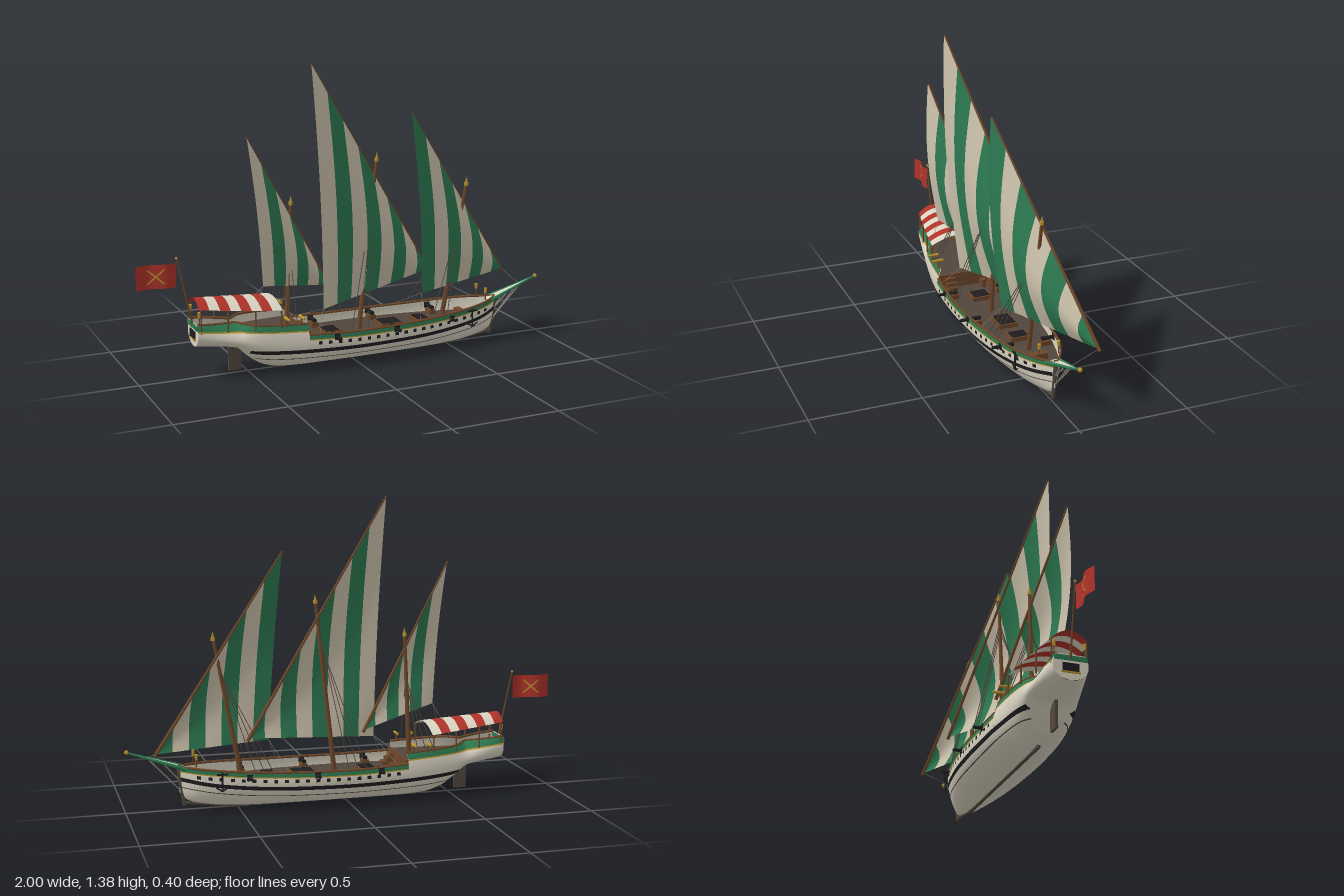
import * as THREE from 'three';
import { ParametricGeometry } from 'three/addons/geometries/ParametricGeometry.js';

const material = (name, color, side = THREE.FrontSide) => {
  const m = new THREE.MeshStandardMaterial({ color, side });
  m.name = name;
  return m;
};
const V = (x, y, z) => new THREE.Vector3(x, y, z);
const lerp = THREE.MathUtils.lerp;

// Smooth monotone curve through [x, value] points
function curve(pts) {
  const d = pts.slice(1).map((p, i) => (p[1] - pts[i][1]) / (p[0] - pts[i][0]));
  const m = pts.map((_, i) => {
    if (i === 0) return d[0];
    if (i === d.length) return d[i - 1];
    return d[i - 1] * d[i] <= 0 ? 0 : 2 * d[i - 1] * d[i] / (d[i - 1] + d[i]);
  });
  return x => {
    let i = 0;
    while (i < d.length - 1 && x > pts[i + 1][0]) i++;
    const h = pts[i + 1][0] - pts[i][0], t = (x - pts[i][0]) / h, s = 1 - t;
    return (1 + 2 * t) * s * s * pts[i][1] + t * s * s * h * m[i]
      + t * t * (3 - 2 * t) * pts[i + 1][1] - t * t * s * h * m[i + 1];
  };
}

// Hull lines: half beam, keel height, height of greatest beam, rail heights
const beam = curve([[-0.75, 0.075], [-0.6, 0.105], [-0.4, 0.138], [-0.2, 0.158], [0, 0.166], [0.2, 0.16], [0.4, 0.138], [0.55, 0.108], [0.68, 0.06], [0.76, 0.006]]);
const keelY = curve([[-0.75, 0.15], [-0.57, 0.128], [-0.5, 0.07], [-0.44, 0.03], [-0.36, 0.01], [-0.25, 0.006], [0.4, 0.006], [0.55, 0.01], [0.67, 0.026], [0.73, 0.045], [0.76, 0.08]]);
const wideY = curve([[-0.75, 0.21], [-0.5, 0.16], [-0.2, 0.13], [0.3, 0.13], [0.76, 0.19]]);
const railY = curve([[-0.75, 0.2], [-0.26, 0.178], [0, 0.17], [0.3, 0.174], [0.6, 0.188], [0.76, 0.198]]);
const castleY = curve([[-0.75, 0.26], [-0.5, 0.238], [-0.26, 0.225]]);
function halfWidth(x, y) {
  const t = Math.max(0, (y - keelY(x)) / (wideY(x) - keelY(x)));
  return beam(x) * (t < 1 ? Math.sqrt(1 - (1 - t) ** 2) : 1 - 0.25 * (t - 1) ** 2);
}

export function createModel() {
  const D = THREE.DoubleSide;
  const cream = material('hull cream', 0xd9d3c1, D), canvas = material('sail canvas', 0xcbc1ab, D);
  const green = material('green', 0x2c7850, D), red = material('red', 0xaf3229, D);
  const gold = material('gold', 0xb8922e, D), wood = material('brown wood', 0x6e4729, D);
  const dark = material('dark planks', 0x51463d, D), black = material('black', 0x1d1d20, D);
  const rope = material('rope', 0x8b857b);

  const ship = new THREE.Group();
  ship.name = 'ship';
  const add = (name, geo, mat, x = 0, y = 0, z = 0) => {
    const mesh = new THREE.Mesh(geo, mat);
    mesh.name = name;
    mesh.position.set(x, y, z);
    ship.add(mesh);
    return mesh;
  };
  const surface = (name, fn, nu, nv, mat) =>
    add(name, new ParametricGeometry((u, v, p) => p.copy(fn(u, v)), nu, nv), mat);
  const rod = (name, a, b, r1, r2, mat, sides = 8) => {
    const dir = b.clone().sub(a), mid = a.clone().add(b).multiplyScalar(0.5);
    const m = add(name, new THREE.CylinderGeometry(r2, r1, dir.length(), sides), mat, mid.x, mid.y, mid.z);
    m.quaternion.setFromUnitVectors(V(0, 1, 0), dir.normalize());
  };
  const box = (name, w, h, d, mat, x, y, z) => add(name, new THREE.BoxGeometry(w, h, d), mat, x, y, z);
  const ball = (name, r, p, mat) => add(name, new THREE.SphereGeometry(r, 10, 8), mat, p.x, p.y, p.z);

  // Hull shell in two lengths: raised stern and main body
  const shell = (name, x0, x1, top, n) => surface(name, (u, v) => {
    const x = lerp(x0, x1, u), s = 2 * v - 1, y = keelY(x) + (top(x) - keelY(x)) * s * s;
    return V(x, y, Math.sign(s) * halfWidth(x, y));
  }, n, 32, cream);
  shell('sternHull', -0.75, -0.26, castleY, 30);
  shell('mainHull', -0.26, 0.76, railY, 50);
  surface('transom', (u, v) => {
    const y = lerp(0.15, 0.26, u);
    return V(-0.75, y, halfWidth(-0.75, y) * (2 * v - 1));
  }, 12, 6, cream);
  box('sternWindow', 0.006, 0.035, 0.07, black, -0.752, 0.205, 0);
  box('sternWindowSill', 0.008, 0.006, 0.08, gold, -0.753, 0.184, 0);
  box('sternTrim', 0.006, 0.02, 0.14, green, -0.752, 0.244, 0);

  // Decks and the bulkhead between them
  const deck = (name, x0, x1, y) => surface(name, (u, v) => {
    const x = lerp(x0, x1, u);
    return V(x, y, -halfWidth(x, y) * 0.985 * (2 * v - 1));
  }, 24, 2, dark);
  deck('sternDeck', -0.748, -0.26, 0.188);
  deck('mainDeck', -0.26, 0.74, 0.125);
  box('bulkhead', 0.01, 0.07, 0.29, wood, -0.258, 0.16, 0);

  // Painted bands, rails and gunports on both sides
  for (const side of [1, -1]) {
    const band = (name, x0, x1, lo, hi, mat, n = 40, off = 0.003) => surface(name, (u, v) => {
      const x = lerp(x0, x1, u), y = lerp(lo(x), hi(x), v);
      return V(x, y, side * (halfWidth(x, y) + off));
    }, n, 2, mat);
    const below = (f, d) => x => f(x) - d;
    band('greenBand', -0.26, 0.76, below(railY, 0.02), railY, green);
    band('goldBand', -0.26, 0.76, below(railY, 0.025), below(railY, 0.02), gold);
    band('sternGreenBand', -0.75, -0.26, below(castleY, 0.028), castleY, green);
    band('sternGoldBand', -0.75, -0.26, below(castleY, 0.034), below(castleY, 0.028), gold);
    const wale = curve([[-0.55, 0.118], [-0.3, 0.104], [0, 0.098], [0.3, 0.102], [0.6, 0.12], [0.76, 0.142]]);
    band('blackWale', -0.52, 0.755, below(wale, 0.009), x => wale(x) + 0.009, black);
    band('lowerWale', -0.49, 0.75, below(wale, 0.038), below(wale, 0.034), dark);
    for (let x = -0.22; x < 0.68; x += 0.047)
      band('gunport', x, x + 0.017, below(railY, 0.045), below(railY, 0.03), black, 2, 0.004);
    const rail = (name, x0, x1, top) => {
      const pts = Array.from({ length: 20 }, (_, i) => {
        const x = lerp(x0, x1, i / 19);
        return V(x, top(x), side * halfWidth(x, top(x)));
      });
      add(name, new THREE.TubeGeometry(new THREE.CatmullRomCurve3(pts), 40, 0.006, 6), wood);
    };
    rail('mainRail', -0.26, 0.76, railY);
    rail('sternRail', -0.75, -0.26, castleY);

    // Guns on carriages
    for (const x of [-0.13, 0.165, 0.465]) {
      const w = halfWidth(x, 0.15);
      rod('gunBarrel', V(x, 0.157, side * (w - 0.06)), V(x, 0.157, side * (w + 0.04)), 0.01, 0.007, black);
      box('gunCarriage', 0.03, 0.022, 0.05, wood, x, 0.137, side * (w - 0.04));
      box('gunOpening', 0.026, 0.028, 0.008, black, x, 0.157, side * w);
    }
    // Anchor
    const az = side * (halfWidth(0.585, 0.15) + 0.012);
    rod('anchorShank', V(0.585, 0.185, az), V(0.585, 0.1, az), 0.004, 0.004, black);
    rod('anchorStock', V(0.56, 0.175, az), V(0.61, 0.175, az), 0.004, 0.004, black);
    for (const d of [-1, 1]) rod('anchorArm', V(0.585, 0.1, az), V(0.585 + d * 0.028, 0.117, az), 0.004, 0.003, black);

    // Swivel guns and lanterns
    for (const x of [-0.36, -0.29]) {
      const z = side * (halfWidth(x, 0.23) + 0.004);
      rod('swivelPost', V(x, 0.22, z), V(x, 0.257, z), 0.004, 0.004, wood);
      rod('swivelGun', V(x, 0.26, z - side * 0.02), V(x, 0.26, z + side * 0.035), 0.008, 0.005, gold);
    }
    for (const [x, y, z] of [[-0.74, 0.26, 0.065], [0.69, 0.2, 0.045]]) {
      rod('lanternPost', V(x, y, side * z), V(x, y + 0.035, side * z), 0.003, 0.003, wood);
      rod('lantern', V(x, y + 0.032, side * z), V(x, y + 0.058, side * z), 0.006, 0.008, gold, 6);
    }
    // Awning posts
    for (const x of [-0.735, -0.62, -0.5, -0.385]) {
      const z = side * beam(x) * 0.95;
      rod('awningPost', V(x, 0.22, z), V(x, lerp(0.328, 0.3, (x + 0.745) / 0.365), z), 0.004, 0.004, wood);
    }
    // Beakhead sides and stays
    rod('beakRail', V(0.73, 0.188, side * 0.03), V(0.985, 0.272, 0), 0.009, 0.004, green);
    rod('bowStay', V(0.9, 0.243, side * 0.009), V(0.748, 0.08, 0), 0.003, 0.003, rope, 6);
    rod('bowStay', V(0.84, 0.225, side * 0.015), V(0.755, 0.13, 0), 0.003, 0.003, rope, 6);
  }

  // Beakhead, stem, keel and rudder
  surface('beakPlatform', (u, v) => V(lerp(0.72, 0.98, u), lerp(0.19, 0.273, u), -(2 * v - 1) * lerp(0.032, 0.002, u)), 2, 2, cream);
  ball('beakKnob', 0.01, V(0.99, 0.275, 0), gold);
  rod('stem', V(0.738, 0.018, 0), V(0.765, 0.205, 0), 0.009, 0.011, dark, 6);
  rod('forefoot', V(0.55, 0.008, 0), V(0.738, 0.03, 0), 0.006, 0.008, dark, 6);
  box('keel', 0.94, 0.012, 0.014, dark, 0.085, 0.006, 0);
  box('rudder', 0.06, 0.125, 0.012, dark, -0.56, 0.075, 0);

  // Deck furniture
  for (const [x, w] of [[-0.1, 0.08], [0.2, 0.11], [0.36, 0.07]]) {
    box('hatchFrame', w, 0.02, 0.09, wood, x, 0.135, 0);
    box('hatchGrating', w - 0.016, 0.004, 0.074, black, x, 0.146, 0);
  }
  for (const z of [-0.1, -0.06]) rod('barrel', V(-0.21, 0.125, z), V(-0.21, 0.165, z), 0.016, 0.016, wood, 12);
  for (let i = 0; i < 3; i++) box('step', 0.016, 0.018 * (3 - i), 0.05, wood, -0.245 + i * 0.016, 0.125 + 0.009 * (3 - i), 0.09);
  box('foreBench', 0.03, 0.03, 0.08, wood, 0.58, 0.14, 0);

  // Striped awning with an arched roof
  for (let i = 0; i < 8; i++) surface('awningStripe', (u, v) => {
    const t = (i + u) / 8, x = lerp(-0.745, -0.38, t), s = 2 * v - 1;
    return V(x, lerp(0.366, 0.338, t) - 0.037 * s * s, -s * beam(x) * 0.96);
  }, 2, 16, i % 2 ? cream : red);

  // Masts, yards, striped sails and rigging
  const rigs = [
    { mast: [V(-0.31, 0.18, 0), V(-0.285, 0.75, 0)], top: V(-0.52, 1.07, 0.09), tack: V(-0.07, 0.33, -0.078), clew: V(-0.45, 0.405, 0.075), n: 6, first: 0, shroud: -0.39, hitch: 0.62, belly: 0.03 },
    { mast: [V(0.045, 0.1, 0), V(0.135, 0.915, 0)], top: V(-0.23, 1.375, 0.113), tack: V(0.47, 0.335, -0.132), clew: V(-0.16, 0.265, 0.072), n: 8, first: 0, shroud: -0.06, hitch: 0.78, belly: 0.05 },
    { mast: [V(0.473, 0.1, 0), V(0.6, 0.765, 0)], top: V(0.265, 1.135, 0.088), tack: V(0.88, 0.29, -0.138), clew: V(0.34, 0.28, 0.065), n: 7, first: 1, shroud: 0.36, hitch: 0.78, belly: 0.045 },
  ];
  for (const r of rigs) {
    const [foot, head] = r.mast;
    rod('mast', foot, head, 0.012, 0.007, wood, 10);
    rod('mastCollar', head.clone().add(V(0, -0.01, 0)), head.clone().add(V(0, 0.005, 0)), 0.01, 0.01, gold);
    rod('mastFinial', head, head.clone().add(V(0.002, 0.03, 0)), 0.008, 0.001, gold);
    rod('yard', r.tack.clone().lerp(r.top, -0.01), r.top.clone(), 0.008, 0.004, wood);
    for (let i = 0; i < r.n; i++) surface('sailStripe', (u, v) => {
      const a = (i + u) / r.n;
      const p = r.top.clone().lerp(r.tack, a).lerp(r.clew.clone().lerp(r.tack, a), v);
      p.z += 0.004 + Math.sin(Math.PI * v) * (0.028 * (1 - a) + r.belly * Math.sin(Math.PI * a));
      return p;
    }, 4, 20, (i + r.first) % 2 ? green : canvas);
    for (const side of [1, -1]) for (let i = 0; i < 3; i++) {
      const x = r.shroud + i * 0.04, y = x < -0.26 ? castleY(x) : railY(x);
      rod('shroud', V(x, y, side * halfWidth(x, y)), foot.clone().lerp(head, r.hitch + i * 0.03), 0.0018, 0.0018, dark, 5);
    }
    for (const side of [1, -1]) {
      const x = r.clew.x - 0.05, y = x < -0.26 ? castleY(x) : railY(x);
      rod('sheet', r.clew, V(x, y, side * halfWidth(x, y)), 0.001, 0.001, rope, 5);
    }
  }
  rod('tackLine', V(0.88, 0.29, -0.138), V(0.9, 0.247, 0), 0.001, 0.001, rope, 5);

  // Flag with a crossed pair of gold bars
  rod('flagpole', V(-0.75, 0.24, 0), V(-0.815, 0.55, 0), 0.005, 0.003, wood);
  ball('flagpoleKnob', 0.006, V(-0.816, 0.552, 0), gold);
  const flagPoint = (u, v, off = 0) => V(lerp(-0.82, -1, u), lerp(0.425, 0.532, v), 0.009 * Math.sin(u * 7) + off);
  surface('flag', (u, v) => flagPoint(u, v), 16, 4, red);
  for (const off of [0.0025, -0.0025]) for (const d of [1, -1]) {
    surface('flagBar', (u, v) => flagPoint(0.5 + d * (u - 0.5) * 0.4 + (v - 0.5) * 0.055, 0.2 + 0.6 * u, off), 8, 2, gold);
    surface('flagBarGuard', (u, v) => flagPoint(0.5 - d * (0.12 + (u - 0.5) * 0.12), 0.32 + (u - 0.5) * -0.2 + (v - 0.5) * 0.07, off), 4, 2, gold);
  }
  return ship;
}
